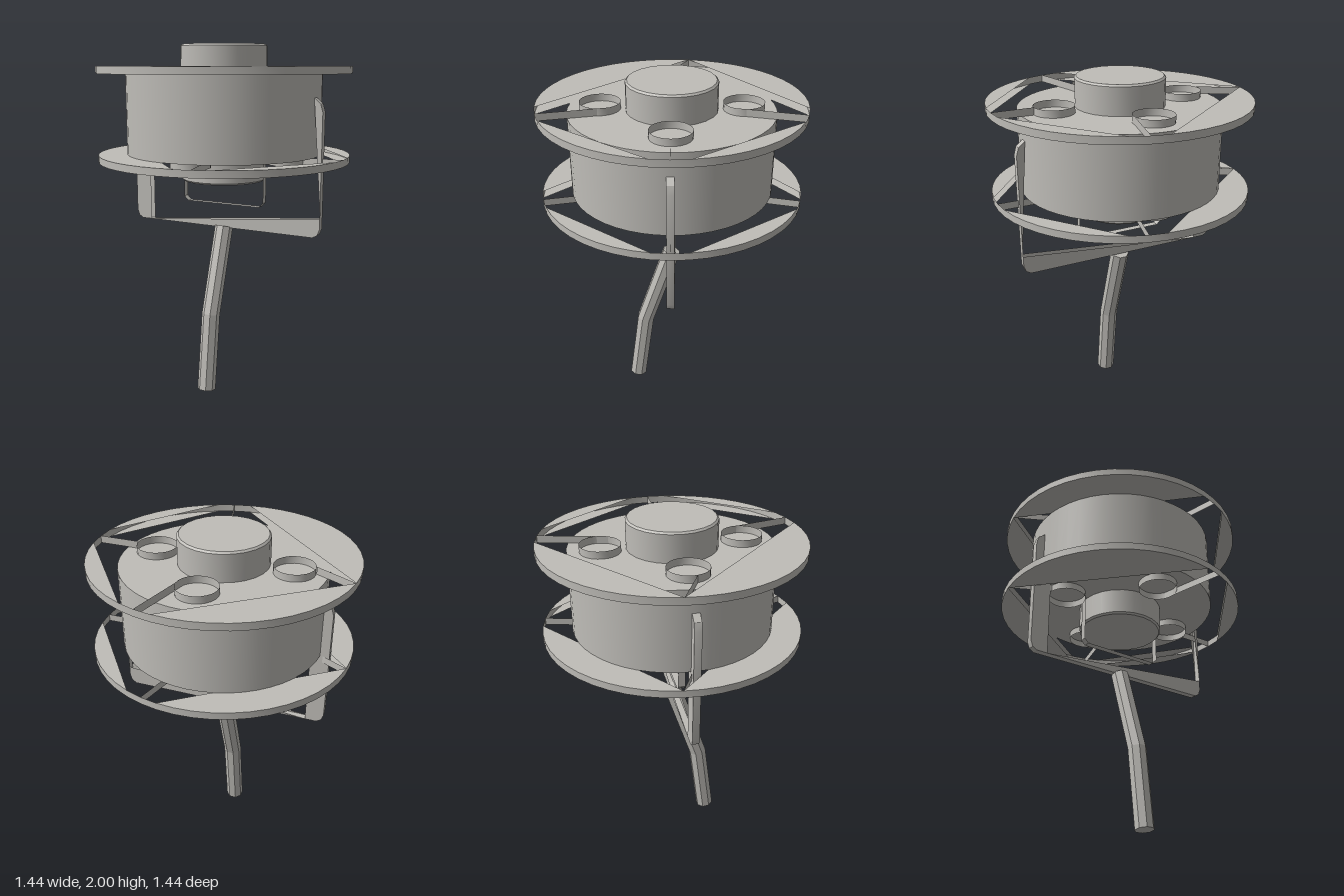
import * as THREE from 'three';
import { toCreasedNormals } from 'three/addons/utils/BufferGeometryUtils.js';

const RAD = Math.PI / 180;

// Points on a circular arc, angles in degrees
function arc(cx, cy, r, from, to, step) {
  const pts = [];
  for (let a = from; a <= to + 0.01; a += step) {
    pts.push([cx + r * Math.cos(a * RAD), cy + r * Math.sin(a * RAD)]);
  }
  return pts;
}

// Upright strip following a path in x/y, from z0 to z1
function ribbon(pts, z0, z1) {
  const pos = [], index = [];
  pts.forEach(([x, y], i) => {
    pos.push(x, y, z0, x, y, z1);
    if (i > 0) {
      const a = 2 * (i - 1);
      index.push(a, a + 2, a + 1, a + 1, a + 2, a + 3);
    }
  });
  const g = new THREE.BufferGeometry();
  g.setAttribute('position', new THREE.Float32BufferAttribute(pos, 3));
  g.setIndex(index);
  return toCreasedNormals(g, 0.5);
}

// Flat face at height z
function plate(pts, z) {
  const shape = new THREE.Shape(pts.map(([x, y]) => new THREE.Vector2(x, y)));
  return new THREE.ShapeGeometry(shape).translate(0, 0, z);
}

export function createModel() {
  const model = new THREE.Group();
  model.name = 'reelOnHandle';
  const grey = new THREE.MeshStandardMaterial({ color: 0xbfbdb8, side: THREE.DoubleSide });
  grey.name = 'warm grey';

  const add = (parent, name, geometry) => {
    const mesh = new THREE.Mesh(geometry, grey);
    mesh.name = name;
    parent.add(mesh);
    return mesh;
  };

  // Drum
  add(model, 'drum', new THREE.CylinderGeometry(0.555, 0.555, 0.448, 48).translate(0, 1.615, 0));

  // Hub running through the drum, with small bevels
  const hubProfile = [[0, 1.235], [0.235, 1.235], [0.245, 1.245], [0.245, 1.99], [0.235, 2], [0, 2]]
    .map(([x, y]) => new THREE.Vector2(x, y));
  add(model, 'hub', toCreasedNormals(new THREE.LatheGeometry(hubProfile, 24), 0.5));

  // Flanges: open rim, flat rim segments, hole collars and thin webs
  const R = 0.718, T = 0.04;
  const segments = [[7.5, 67.5], [82.5, 172.5], [172.5, 277.5], [292.5, 352.5]];
  const holes = [[0.38, 0], [0, 0.38], [-0.38, 0], [0, -0.38]];
  const webs = [[0, 0.49, 0], [75, 0.095, 0.325], [172.5, -0.49, -0.02], [285, 0.095, -0.325]];
  for (const [name, y] of [['upperFlange', 1.84], ['lowerFlange', 1.35]]) {
    const flange = new THREE.Group();
    flange.name = name;
    flange.rotation.x = -Math.PI / 2;
    flange.position.y = y;
    add(flange, 'rim', ribbon(arc(0, 0, R, 0, 360, 7.5), 0, T));
    for (const [from, to] of segments) {
      const pts = arc(0, 0, R, from, to, 7.5);
      add(flange, 'segmentTop', plate(pts, T));
      add(flange, 'segmentUnderside', plate(pts.map(([x, v]) => [-x, v]), 0).rotateY(Math.PI));
    }
    for (const [x, v] of holes) add(flange, 'holeCollar', ribbon(arc(x, v, 0.11, 0, 360, 15), 0, T));
    for (const [angle, x, v] of webs) {
      add(flange, 'web', ribbon([[R * Math.cos(angle * RAD), R * Math.sin(angle * RAD)], [x, v]], 0, T));
    }
    model.add(flange);
  }

  // Yoke: outer band, inner band and flat side faces
  const yoke = new THREE.Group();
  yoke.name = 'yoke';
  const D = 0.02;
  const rightHalf = [[0.565, 0.95], [0.592, 0.966], [0.605, 1.0], [0.605, 1.64], [0.592, 1.685], [0.555, 1.715]];
  const mirror = (pts) => pts.map(([x, y]) => [-x, y]).reverse();
  add(yoke, 'outerBand', ribbon([...mirror(rightHalf), ...rightHalf], -D, D));
  const innerHalf = [[0.235, 1.09], [0.26, 1.115], [0.26, 1.39]];
  add(yoke, 'innerBand', ribbon([...mirror(innerHalf), ...innerHalf], -D, D));
  const faces = {
    rightArmFace: [[-0.5, 0.95], [-0.5, 1.715], ...mirror(rightHalf)],
    crossbarFace: [[-0.5, 0.95], [0.565, 0.95], [0.592, 0.966], [0.605, 1.0], [0.605, 1.06]],
    leftArmFace: [[0.605, 1.09], [0.605, 1.64], [0.592, 1.685], [0.555, 1.715]],
  };
  for (const [name, pts] of Object.entries(faces)) {
    add(yoke, name, plate(pts, D));
    add(yoke, name, plate(pts.map(([x, y]) => [-x, y]), D).rotateY(Math.PI));
  }
  model.add(yoke);

  // Bent octagonal handle: each row of a cylinder is moved onto the path and tilted
  const path = [
    { y: 0.007, z: 0.22, tilt: 0.125 },
    { y: 0.455, z: 0.164, tilt: 0.22 },
    { y: 0.95, z: 0.002, tilt: 0.316 },
  ];
  const handle = new THREE.CylinderGeometry(0.053, 0.053, 2, 8, 2, false, Math.PI / 8);
  const p = handle.attributes.position;
  for (let i = 0; i < p.count; i++) {
    const row = path[Math.round(p.getY(i)) + 1], side = p.getZ(i);
    p.setY(i, row.y + side * Math.sin(row.tilt));
    p.setZ(i, row.z + side * Math.cos(row.tilt));
  }
  add(model, 'handle', toCreasedNormals(handle, 0.1));

  return model;
}
